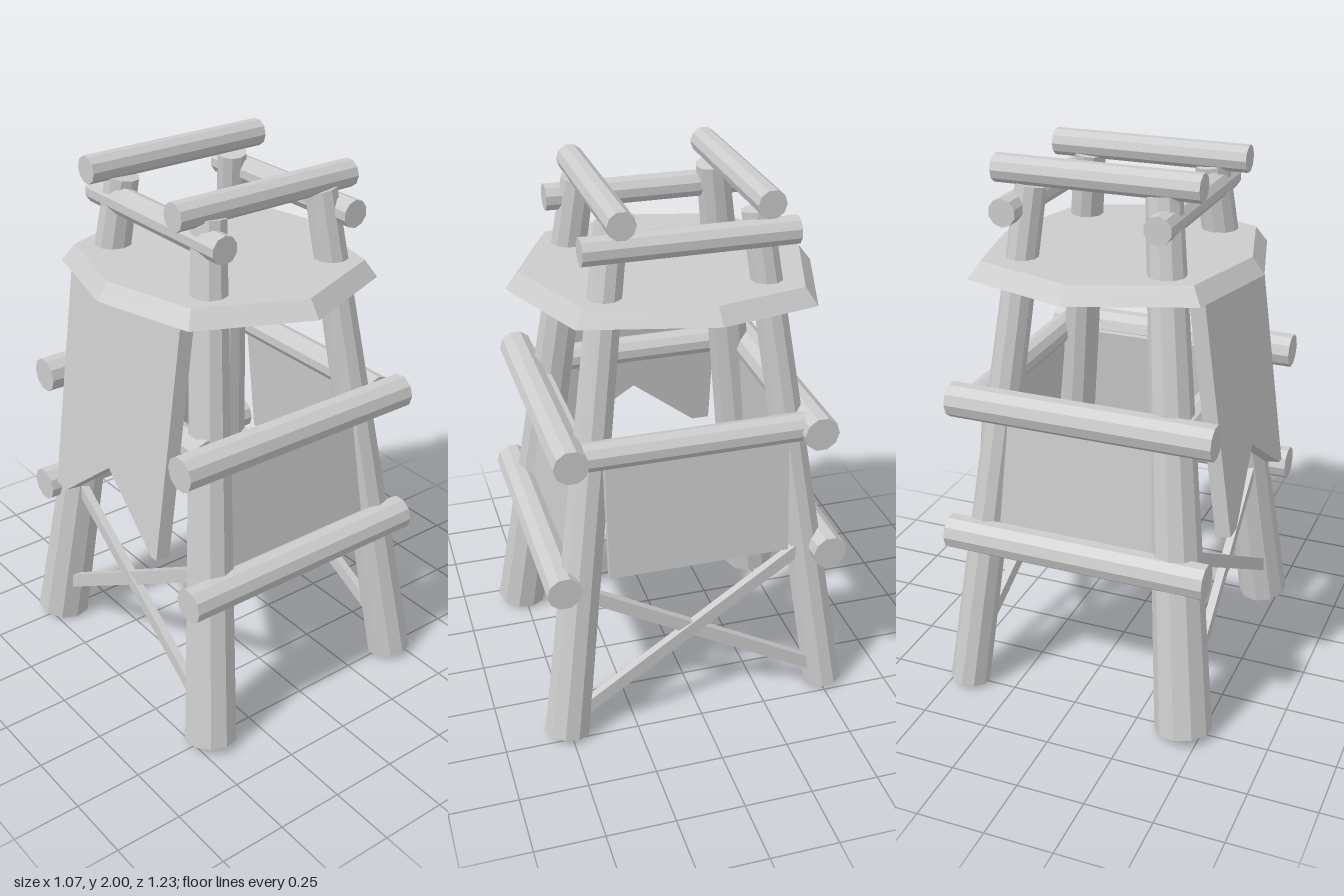
import * as THREE from 'three';

const material = new THREE.MeshStandardMaterial({ color: 0xcccccc, flatShading: true });
const V = (x, y, z) => new THREE.Vector3(x, y, z);

export function createModel() {
  const tower = new THREE.Group();
  tower.name = 'watchtower';

  const add = (name, geometry) => {
    const mesh = new THREE.Mesh(geometry, material);
    mesh.name = name;
    tower.add(mesh);
    return mesh;
  };

  // Round log between two points, optionally tapered
  const log = (name, a, b, rA, rB = rA) => {
    const dir = b.clone().sub(a);
    const mesh = add(name, new THREE.CylinderGeometry(rB, rA, dir.length(), 10));
    mesh.position.copy(a).lerp(b, 0.5);
    mesh.quaternion.setFromUnitVectors(V(0, 1, 0), dir.normalize());
  };

  // Plank outline in (across, up), thickened and leaned so that its foot and
  // head lie at the given distances out from the centre
  const panel = (name, outline, foot, head, yFoot, yHead, thickness, turn) => {
    const shape = new THREE.Shape(outline.map(([u, v]) => new THREE.Vector2(u, v)));
    const geometry = new THREE.ExtrudeGeometry(shape, { depth: thickness, bevelEnabled: false });
    geometry.translate(0, 0, -thickness / 2);
    geometry.rotateX(Math.atan2(head - foot, yHead - yFoot));
    geometry.translate(0, yFoot, foot);
    geometry.rotateY(turn);
    add(name, geometry);
  };

  // Four splayed, tapered legs
  log('frontLeftLeg', V(0.455, 0.015, 0.51), V(0.235, 1.9, 0.25), 0.085, 0.058);
  log('frontRightLeg', V(-0.435, 0.02, 0.51), V(-0.24, 1.9, 0.25), 0.098, 0.062);
  log('backLeftLeg', V(0.43, 0.015, -0.515), V(0.24, 1.9, -0.25), 0.075, 0.055);
  log('backRightLeg', V(-0.435, 0.02, -0.515), V(-0.24, 1.91, -0.25), 0.105, 0.062);

  // Long cross rails on the front and back
  for (const [y, zFront, zBack] of [[0.635, 0.5, -0.49], [1.14, 0.46, -0.43]]) {
    log('frontRail', V(-0.52, y, zFront), V(0.47, y, zFront), 0.064);
    log('backRail', V(-0.5, y, zBack), V(0.49, y, zBack), 0.064);
  }

  // Side rails
  for (const x of [-0.37, 0.41]) log('sideRail', V(x, 1.14, 0.41), V(x, 1.14, -0.41), 0.052);

  // Railing around the top
  for (const x of [-0.265, 0.29]) log('topSideRail', V(x, 1.83, 0.37), V(x, 1.83, -0.38), 0.05);
  for (const [y, z] of [[1.93, 0.247], [1.952, -0.26]]) {
    log('topCrossRail', V(-0.38, y, z), V(0.365, y, z), 0.05);
  }

  // Uneven eight-sided platform with a bevelled rim
  const rim = [[0.005, -0.55], [0.41, -0.42], [0.485, -0.06], [0.37, 0.41],
    [-0.03, 0.565], [-0.42, 0.38], [-0.52, 0], [-0.42, -0.39]];
  const deck = new THREE.CylinderGeometry(0.915, 1, 0.06, 8);
  const p = deck.attributes.position;
  for (let i = 0; i < p.count; i++) {
    const r = Math.hypot(p.getX(i), p.getZ(i));
    if (r < 0.01) continue;
    const k = Math.round(Math.atan2(p.getX(i), p.getZ(i)) / (Math.PI / 4));
    const [x, z] = rim[(12 + k * 1 - 8 + 8 - 2 * k + 8) % 8]; // counter-clockwise onto the rim order
    p.setX(i, x * r);
    p.setZ(i, z * r);
  }
  deck.translate(0, 1.625, 0);
  deck.computeVertexNormals();
  add('platform', deck);

  // Wall panels between the rails
  const rect = (w, h) => [[-w, 0], [w, 0], [w, h], [-w, h]];
  panel('frontPanel', rect(0.37, 0.52), 0.445, 0.39, 0.62, 1.14, 0.03, 0);
  panel('backPanel', rect(0.37, 0.52), 0.445, 0.39, 0.62, 1.14, 0.03, Math.PI);
  panel('leftPanel', rect(0.335, 0.48), 0.445, 0.4, 0.66, 1.14, 0.03, Math.PI / 2);

  // Tall outer panel with a notch broken out of its foot
  panel('rightPanel', [[-0.33, 0], [-0.26, 0], [0, 0.21], [0.3, 0], [0.33, 0], [0.33, 0.89], [-0.33, 0.89]],
    0.505, 0.385, 0.73, 1.61, 0.055, -Math.PI / 2);

  // Crossed braces low on both sides
  const brace = (a, b) => {
    const dir = b.clone().sub(a);
    const mesh = add('brace', new THREE.BoxGeometry(0.03, 0.05, dir.length()));
    mesh.position.copy(a).lerp(b, 0.5);
    mesh.lookAt(b);
  };
  brace(V(0.46, 0.1, 0.45), V(0.4, 0.62, -0.4));
  brace(V(0.41, 0.57, 0.4), V(0.44, 0.1, -0.46));
  brace(V(-0.45, 0.17, 0.45), V(-0.4, 0.65, -0.38));
  brace(V(-0.4, 0.65, 0.38), V(-0.44, 0.17, -0.45));

  return tower;
}
